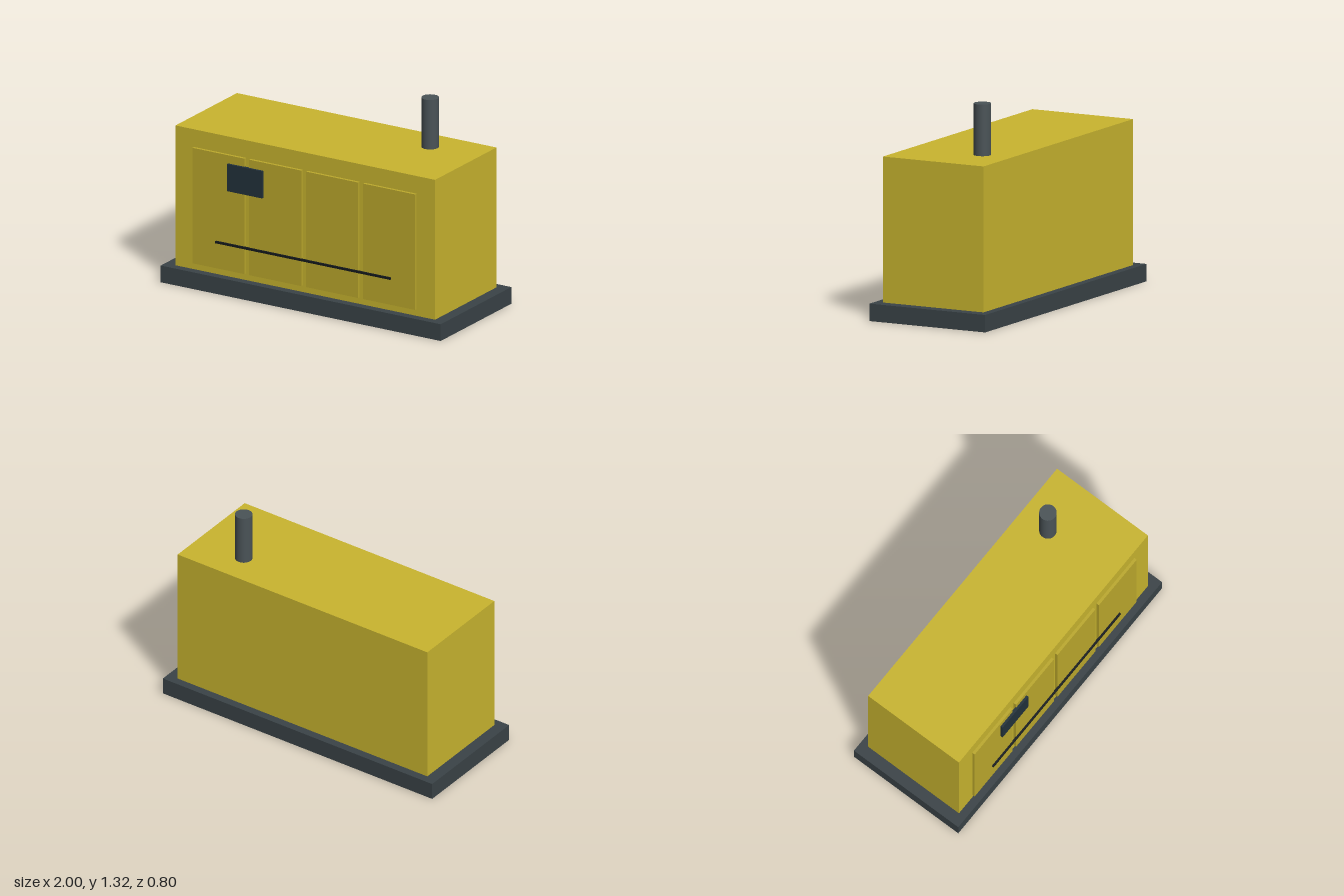
import * as THREE from 'three';

const paint = (color) => new THREE.MeshStandardMaterial({ color });

export function createModel() {
  const model = new THREE.Group();
  model.name = 'generator';
  const yellow = paint(0xc9b52f);
  const doorYellow = paint(0xbca92c);
  const steel = paint(0x3a4347);
  const pipeGrey = paint(0x4a5357);
  const screen = paint(0x22313b);
  const black = paint(0x14191c);

  // Box given by its lower and upper limits on each axis
  const box = (name, material, [x0, x1], [y0, y1], [z0, z1]) => {
    const mesh = new THREE.Mesh(new THREE.BoxGeometry(x1 - x0, y1 - y0, z1 - z0), material);
    mesh.position.set((x0 + x1) / 2, (y0 + y1) / 2, (z0 + z1) / 2);
    mesh.name = name;
    model.add(mesh);
  };

  // Skid base and enclosure
  box('base', steel, [-1, 1], [0, 0.107], [-0.4, 0.4]);
  box('enclosure', yellow, [-0.927, 0.927], [0.107, 1.003], [-0.348, 0.348]);

  // Four service doors along the front
  for (let i = 0; i < 4; i++) {
    const x = (i - 1.5) * 0.406;
    box(`door${i + 1}`, doorYellow, [x - 0.186, x + 0.186], [0.15, 0.89], [0.34, 0.366]);
  }

  // Control panel and handrail on the doors
  box('controlPanel', screen, [-0.54, -0.287], [0.665, 0.838], [0.36, 0.381]);
  box('handrail', black, [-0.625, 0.625], [0.314, 0.327], [0.364, 0.378]);

  // Exhaust stack on the roof
  const exhaust = new THREE.Mesh(new THREE.CylinderGeometry(0.053, 0.053, 0.32, 32), pipeGrey);
  exhaust.position.set(0.58, 1.16, -0.147);
  exhaust.name = 'exhaustStack';
  model.add(exhaust);

  return model;
}
